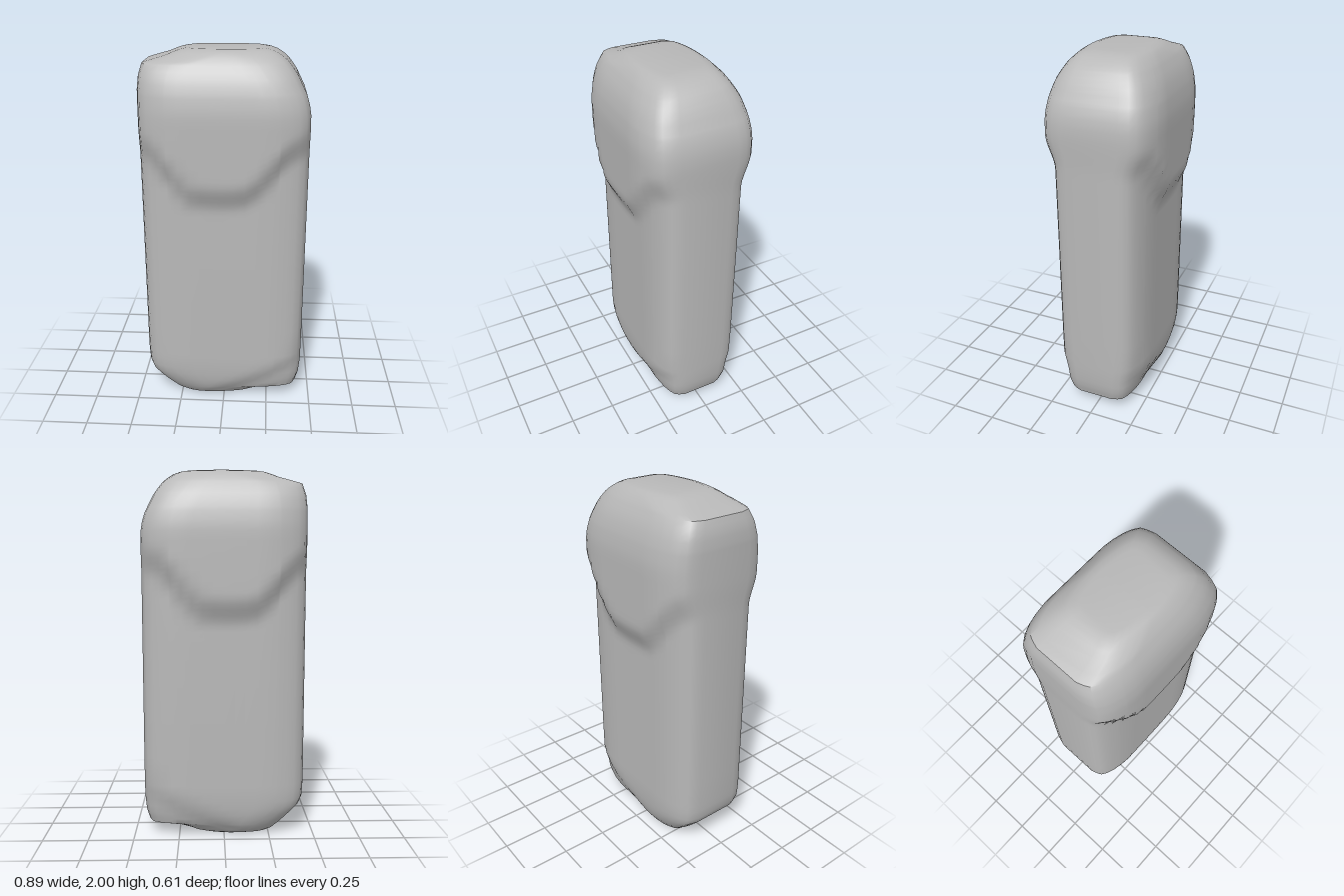
import * as THREE from 'three';
import { toCreasedNormals } from 'three/addons/utils/BufferGeometryUtils.js';

// Piecewise-linear curve through [input, output] pairs
function curve(points) {
  return (t) => {
    if (t <= points[0][0]) return points[0][1];
    for (let i = 1; i < points.length; i++) {
      const [a, va] = points[i - 1], [b, vb] = points[i];
      if (t <= b) return va + ((vb - va) * (t - a)) / (b - a);
    }
    return points[points.length - 1][1];
  };
}
const smooth = (t) => THREE.MathUtils.smoothstep(t, 0, 1);

// Side outlines by height: one top corner and the opposite bottom corner are pinched into lips
const leftEdge = curve([[0, -0.2], [0.012, -0.25], [0.03, -0.29], [0.1, -0.36], [0.17, -0.425], [0.21, -0.44],
  [0.3, -0.445], [1.8, -0.445], [1.87, -0.438], [1.93, -0.42], [1.945, -0.37], [1.965, -0.3], [1.99, -0.24], [2, -0.19]]);
const rightEdge = curve([[0, 0.13], [0.012, 0.17], [0.03, 0.21], [0.055, 0.29], [0.07, 0.42], [0.13, 0.437],
  [0.22, 0.445], [1.67, 0.445], [1.73, 0.435], [1.78, 0.42], [1.88, 0.37], [1.94, 0.325], [1.975, 0.28], [1.99, 0.25], [2, 0.2]]);

// Rounding of the depth towards top and bottom, and towards the side edges
const endScale = curve([[0, 0.7], [0.012, 0.77], [0.04, 0.82], [0.08, 0.9], [0.13, 0.95], [0.18, 0.98], [0.26, 1],
  [1.68, 1], [1.74, 0.985], [1.8, 0.945], [1.86, 0.885], [1.91, 0.8], [1.95, 0.71], [1.98, 0.61], [1.992, 0.55], [2, 0.45]]);
const sideScale = curve([[0, 0.5], [0.012, 0.66], [0.025, 0.77], [0.06, 0.86], [0.1, 0.92],
  [0.15, 0.965], [0.19, 0.99], [0.22, 1]]);
// Lower rim of the raised upper panel
const panelRim = curve([[0, 1.17], [0.15, 1.18], [0.22, 1.25], [0.3, 1.35], [0.36, 1.42], [0.45, 1.45]]);

function halfDepth(x, y, inset) {
  const raised = 0.055 * smooth((y - panelRim(Math.abs(x + 0.02))) / 0.17);
  const bottomDip = 0.025 * smooth((0.12 + 0.5 * x - y) / 0.12);
  return (0.25 + raised - bottomDip) * endScale(y) * sideScale(inset);
}

function bodyGeometry() {
  const heights = [0, 0.012, 0.03, 0.055, 0.07, 0.1, 0.13, 0.17, 0.21, 0.26, 0.3, 0.45, 0.65, 0.85, 1.0, 1.1];
  for (let y = 1.15; y < 1.66; y += 0.03) heights.push(y);
  heights.push(1.68, 1.73, 1.78, 1.8, 1.84, 1.87, 1.9, 1.93, 1.945, 1.965, 1.98, 1.992, 2);
  const insets = [0, 0.012, 0.025, 0.06, 0.1, 0.15];
  const pos = [], index = [];
  let n = 0;

  // Horizontal sections, front side left to right, then back side right to left
  for (const y of heights) {
    const l = leftEdge(y), r = rightEdge(y), xs = [];
    insets.forEach((d) => xs.push(l + d));
    for (let i = 0; i <= 10; i++) xs.push(THREE.MathUtils.lerp(l + 0.16, r - 0.16, i / 10));
    [...insets].reverse().forEach((d) => xs.push(r - d));
    const zs = xs.map((x) => halfDepth(x, y, Math.min(x - l, r - x)));
    xs.forEach((x, i) => pos.push(x, y, zs[i]));
    for (let i = xs.length - 1; i >= 0; i--) pos.push(xs[i], y, -zs[i]);
    n = xs.length * 2;
  }
  for (let k = 0; k < heights.length - 1; k++) {
    for (let j = 0; j < n; j++) {
      const a = k * n + j, b = k * n + ((j + 1) % n);
      index.push(a, b, b + n, a, b + n, a + n);
    }
  }

  // Flat caps bridge the front and back halves of the end sections
  const top = (heights.length - 1) * n;
  for (let j = 0; j < n / 2 - 1; j++) {
    const a = j, b = j + 1, c = n - 2 - j, d = n - 1 - j;
    index.push(top + a, top + b, top + c, top + a, top + c, top + d);
    index.push(a, c, b, a, d, c);
  }

  const geometry = new THREE.BufferGeometry();
  geometry.setAttribute('position', new THREE.Float32BufferAttribute(pos, 3));
  geometry.setIndex(index);
  return toCreasedNormals(geometry, 0.7);
}

export function createModel() {
  const group = new THREE.Group();
  group.name = 'softBlock';
  const grey = new THREE.MeshStandardMaterial({ color: 0xb8b8b8 });
  grey.name = 'plain grey';
  const body = new THREE.Mesh(bodyGeometry(), grey);
  body.name = 'body';
  group.add(body);
  return group;
}
